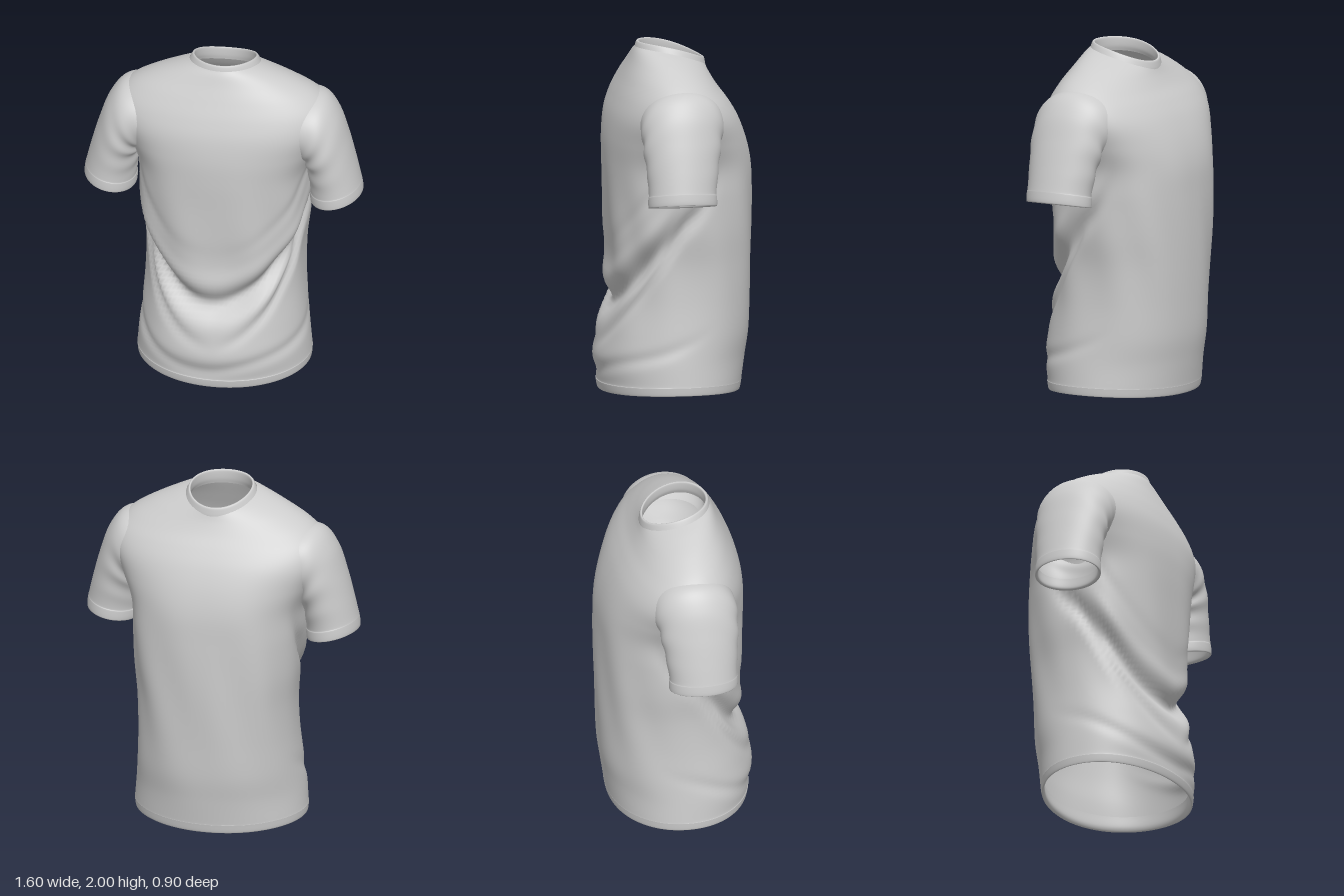
import * as THREE from 'three';

const TAU = Math.PI * 2;
const gauss = (d, w) => Math.exp(-(d * d) / (w * w));

// Smooth interpolation through rows of six numbers; returns row values at t in 0..1
function rowSpline(rows) {
  const make = (o) => new THREE.CatmullRomCurve3(
    rows.map((r) => new THREE.Vector3(r[o], r[o + 1], r[o + 2])), false, 'catmullrom', 0.5);
  const a = make(0), b = make(3);
  return (t) => [...a.getPoint(t).toArray(), ...b.getPoint(t).toArray()];
}

// Closed rings stacked along t; point(angle, t) gives each vertex
function loft(point, segments, steps) {
  const pos = [], index = [];
  for (let j = 0; j <= steps; j++) {
    for (let i = 0; i < segments; i++) pos.push(...point((i / segments) * TAU, j / steps));
  }
  for (let j = 0; j < steps; j++) {
    for (let i = 0; i < segments; i++) {
      const n = (i + 1) % segments;
      const a = j * segments + i, b = j * segments + n;
      const d = a + segments, c = b + segments;
      index.push(a, b, c, a, c, d);
    }
  }
  const g = new THREE.BufferGeometry();
  g.setAttribute('position', new THREE.Float32BufferAttribute(pos, 3));
  g.setIndex(index);
  g.computeVertexNormals();
  return g;
}

// Rounded oval with separate front and back depth
function oval(a, halfWidth, front, back, power) {
  const s = Math.sin(a), c = Math.cos(a), e = 2 / power;
  const mid = (front + back) / 2, depth = (front - back) / 2;
  return [
    halfWidth * Math.sign(s) * Math.abs(s) ** e,
    mid + depth * Math.sign(c) * Math.abs(c) ** e,
  ];
}

// Neck rings lean back and arch over the shoulders
const lean = (a, z, tilt) => tilt * (z + 0.085 * Math.sin(a) ** 2);

// Draped folds across the front: start height, rise, depth, width, side emphasis
const folds = [
  [0.51, 0.27, -0.062, 0.07, 0],
  [0.66, 0.27, 0.010, 0.06, 0],
  [0.27, 0.38, -0.024, 0.04, 1],
  [0.36, 0.38, 0.016, 0.05, 1],
  [0.84, 0.30, -0.008, 0.05, 1],
  [0.12, 0.10, -0.012, 0.04, 0],
];
function foldDepth(a, y) {
  const signed = a > Math.PI ? a - TAU : a;
  const b = Math.abs(signed);
  const fade = 1 - THREE.MathUtils.smoothstep(b, 1.0, 2.0);
  let d = 0;
  for (const [y0, rise, amp, w, side] of folds) {
    const strength = side ? Math.min(1, 0.1 + Math.sin(b)) : 1;
    d += amp * strength * gauss(y - y0 - rise * b ** 1.6 - 0.02 * Math.sin(signed * 3), w);
  }
  // shallow slanting pulls on the chest and back
  const pull = 0.005 * Math.sin(signed * 9 + y * 5) * gauss(y - 0.85, 0.45);
  return d * fade + pull;
}

// height, half width, front z, back z, tilt, roundness
const torsoRows = [
  [0.10, 0.475, 0.405, -0.375, 0, 2.05],
  [0.03, 0.480, 0.405, -0.365, 0, 2.05],
  [0.005, 0.495, 0.42, -0.38, 0, 2.05],
  [0.05, 0.500, 0.43, -0.39, 0, 2.05],
  [0.07, 0.498, 0.429, -0.392, 0, 2.05],
  [0.20, 0.488, 0.45, -0.41, 0, 2.05],
  [0.35, 0.472, 0.425, -0.43, 0, 2.15],
  [0.55, 0.456, 0.385, -0.438, 0, 2.25],
  [0.75, 0.455, 0.37, -0.443, 0, 2.35],
  [0.95, 0.476, 0.38, -0.445, 0, 2.4],
  [1.15, 0.488, 0.385, -0.443, 0, 2.45],
  [1.32, 0.500, 0.39, -0.435, 0, 2.45],
  [1.46, 0.560, 0.388, -0.405, 0, 2.35],
  [1.59, 0.620, 0.370, -0.354, 0, 2.3],
  [1.69, 0.620, 0.336, -0.298, 0.02, 2.2],
  [1.775, 0.540, 0.292, -0.245, 0.08, 2.1],
  [1.845, 0.410, 0.253, -0.210, 0.15, 2],
  [1.892, 0.285, 0.227, -0.193, 0.22, 2],
  [1.918, 0.203, 0.211, -0.185, 0.25, 2],
];
const collarRows = [
  [1.89, 0.211, 0.211, -0.190, 0.24, 2],
  [1.905, 0.208, 0.213, -0.191, 0.25, 2],
  [1.928, 0.197, 0.208, -0.188, 0.26, 2],
  [1.946, 0.187, 0.202, -0.184, 0.26, 2],
  [1.949, 0.181, 0.195, -0.178, 0.26, 2],
  [1.943, 0.175, 0.188, -0.171, 0.26, 2],
  [1.90, 0.178, 0.188, -0.170, 0.26, 2],
  [1.87, 0.190, 0.194, -0.174, 0.25, 2],
];

// armpit-side x, y, outer x, y, centre z, half depth
const sleeveRows = [
  [0.515, 1.18, 0.775, 1.235, 0.06, 0.182],
  [0.518, 1.125, 0.785, 1.185, 0.06, 0.182],
  [0.505, 1.112, 0.798, 1.172, 0.06, 0.195],
  [0.500, 1.13, 0.800, 1.19, 0.06, 0.198],
  [0.500, 1.165, 0.794, 1.23, 0.06, 0.197],
  [0.502, 1.18, 0.789, 1.25, 0.06, 0.194],
  [0.495, 1.25, 0.762, 1.36, 0.056, 0.202],
  [0.482, 1.33, 0.720, 1.51, 0.052, 0.216],
  [0.465, 1.37, 0.664, 1.665, 0.045, 0.228],
  [0.435, 1.39, 0.580, 1.768, 0.035, 0.24],
  [0.380, 1.41, 0.450, 1.785, 0.025, 0.235],
  [0.310, 1.44, 0.340, 1.75, 0.02, 0.21],
];

function torsoGeometry() {
  const row = rowSpline(torsoRows);
  return loft((a, t) => {
    const [y, w, f, b, tilt, n] = row(t);
    const [x, z] = oval(a, w, f, b, n);
    const d = t > 0.1 ? foldDepth(a, y) : 0;
    // hem rises slightly at the sides
    const arch = 0.02 * Math.sin(a) ** 2 * (1 - THREE.MathUtils.smoothstep(y, 0, 0.25));
    return [x + Math.sin(a) * d, y + arch + lean(a, z, tilt), z + Math.cos(a) * d];
  }, 112, 126);
}

function collarGeometry() {
  const row = rowSpline(collarRows);
  return loft((a, t) => {
    const [y, w, f, b, tilt, n] = row(t);
    const [x, z] = oval(a, w, f, b, n);
    return [x, y + lean(a, z, tilt), z];
  }, 64, 28);
}

function sleeveGeometry(side) {
  const row = rowSpline(sleeveRows);
  return loft((angle, t) => {
    const a = angle * side;
    const [ix, iy, ox, oy, cz, hz] = row(t);
    // creases gathering towards the armpit
    const inner = 0.5 - 0.5 * Math.sin(a);
    const crease = 1 + 0.04 * inner * Math.sin(t * 55 + Math.cos(a) * 3) * gauss(t - 0.68, 0.13);
    const s = Math.sin(a) * crease, c = Math.cos(a) * crease;
    return [
      side * ((ix + ox) / 2 + ((ox - ix) / 2) * s),
      (iy + oy) / 2 + ((oy - iy) / 2) * s,
      cz + hz * c,
    ];
  }, 64, 77);
}

export function createModel() {
  const shirt = new THREE.Group();
  shirt.name = 'shirt';
  const fabric = new THREE.MeshStandardMaterial({ color: 0xcccccc, side: THREE.DoubleSide });
  fabric.name = 'light grey fabric';

  const add = (name, geometry) => {
    const mesh = new THREE.Mesh(geometry, fabric);
    mesh.name = name;
    shirt.add(mesh);
  };
  add('torso', torsoGeometry());
  add('collar', collarGeometry());
  add('leftSleeve', sleeveGeometry(1));
  add('rightSleeve', sleeveGeometry(-1));
  return shirt;
}
